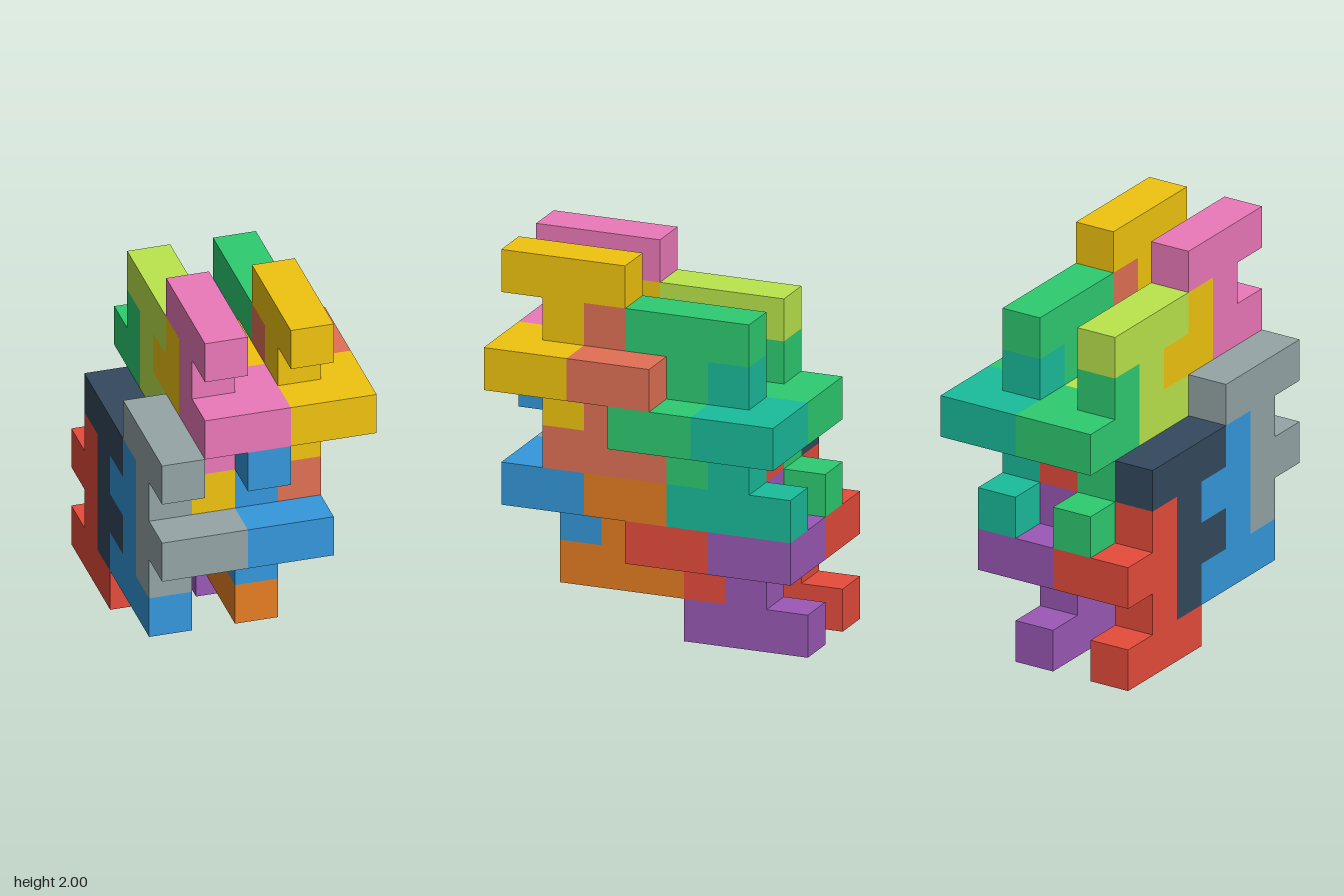
import * as THREE from 'three';
import { mergeGeometries } from 'three/addons/utils/BufferGeometryUtils.js';

const U = 2 / 9; // edge of one cell

// One interlocking piece: flat profile (bar, stem, side arm) plus the arm doubled sideways.
// Origin: middle of its height and of its stem, on its -x face.
function pieceGeometry() {
  const outline = [
    [-0.5, -2], [0.5, -2], [0.5, -1], [1.5, -1], [1.5, 0], [0.5, 0],
    [0.5, 1], [1.5, 1], [1.5, 2], [-1.5, 2], [-1.5, 1], [-0.5, 1],
  ].map(([z, y]) => new THREE.Vector2(z * U, y * U));
  const profile = new THREE.ExtrudeGeometry(new THREE.Shape(outline), { depth: U, bevelEnabled: false });
  profile.rotateY(-Math.PI / 2).translate(U, 0, 0);
  const arm = new THREE.BoxGeometry(U, U, 2 * U).toNonIndexed();
  arm.translate(1.5 * U, -0.5 * U, 0.5 * U);
  return mergeGeometries([profile, arm]);
}

const RED = 0xe74c3c, BLUE = 0x3498db, DARK = 0x34495e, GREY = 0x95a5a6;
const PINK = 0xec79b9, YELLOW = 0xf1c40f, LIME = 0xbbe64c, GREEN = 0x2ecc71;
const ORANGE = 0xe67e22, PURPLE = 0x9b59b6, SALMON = 0xe17055, TEAL = 0x1abc9c;

// Four places in a layer, from front to back; every second piece is turned upside down
const places = [
  { name: 'front', stem: 5, base: 2, flipped: false },
  { name: 'midFront', stem: 4, base: 1, flipped: true },
  { name: 'midBack', stem: 2, base: 1, flipped: false },
  { name: 'back', stem: 1, base: 0, flipped: true },
];

// Colours of the layers from -x to +x
const layers = [
  [GREY, BLUE, DARK, RED],
  [PINK, YELLOW, LIME, GREEN],
  [BLUE, ORANGE, RED, PURPLE],
  [YELLOW, SALMON, GREEN, TEAL],
];

export function createModel() {
  const model = new THREE.Group();
  model.name = 'interlockingBlocks';
  const geometry = pieceGeometry();

  layers.forEach((colors, i) => {
    const layer = new THREE.Group();
    layer.name = `layer${i + 1}`;
    // Every second layer sits three cells higher
    layer.position.set((i - 2.5) * U, (i % 2) * 3 * U, 0);
    places.forEach(({ name, stem, base, flipped }, k) => {
      const piece = new THREE.Mesh(geometry, new THREE.MeshStandardMaterial({ color: colors[k] }));
      piece.name = `${name}Piece`;
      piece.position.set(0, (base + 2) * U, (stem - 3) * U);
      if (flipped) piece.rotation.x = Math.PI;
      layer.add(piece);
    });
    model.add(layer);
  });
  return model;
}
